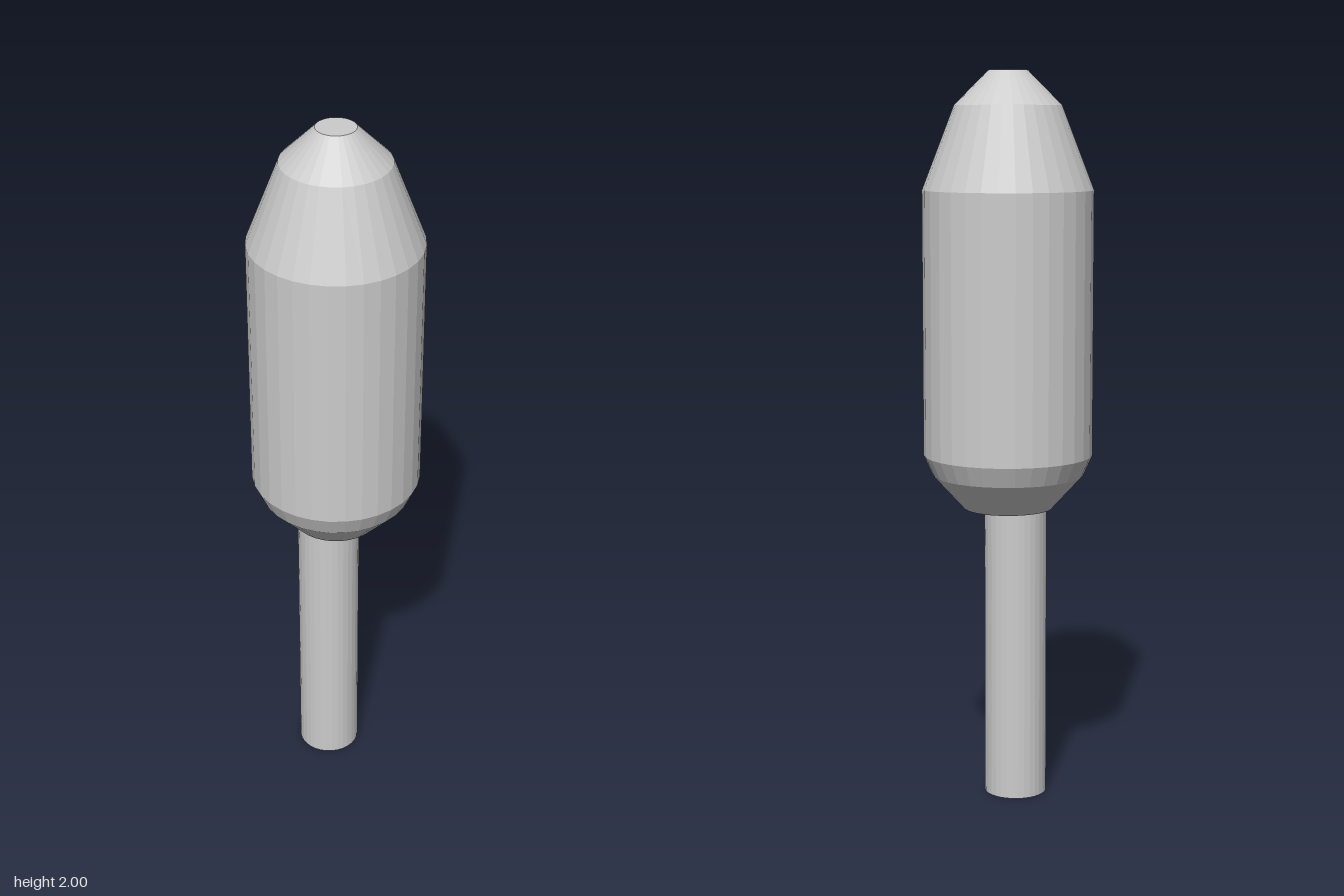
import * as THREE from 'three';

export function createModel() {
  const group = new THREE.Group();
  const material = new THREE.MeshStandardMaterial({ color: 0xcccccc, flatShading: true });

  // Faceted head, closed at both ends: [radius, height] from bottom to top
  const profile = [
    [0, 0.814], [0.122, 0.814], [0.207, 0.907], [0.232, 0.963],
    [0.232, 1.683], [0.145, 1.908], [0.053, 2], [0, 2],
  ].map(([r, y]) => new THREE.Vector2(r, y));
  const head = new THREE.Mesh(new THREE.LatheGeometry(profile, 32), material);
  head.name = 'head';
  group.add(head);

  // Round stick, slightly off the head's axis
  const height = 0.815;
  const stick = new THREE.Mesh(new THREE.CylinderGeometry(0.086, 0.086, height, 32), material);
  stick.position.set(-0.02, height / 2, 0.01);
  stick.name = 'stick';
  group.add(stick);

  return group;
}
